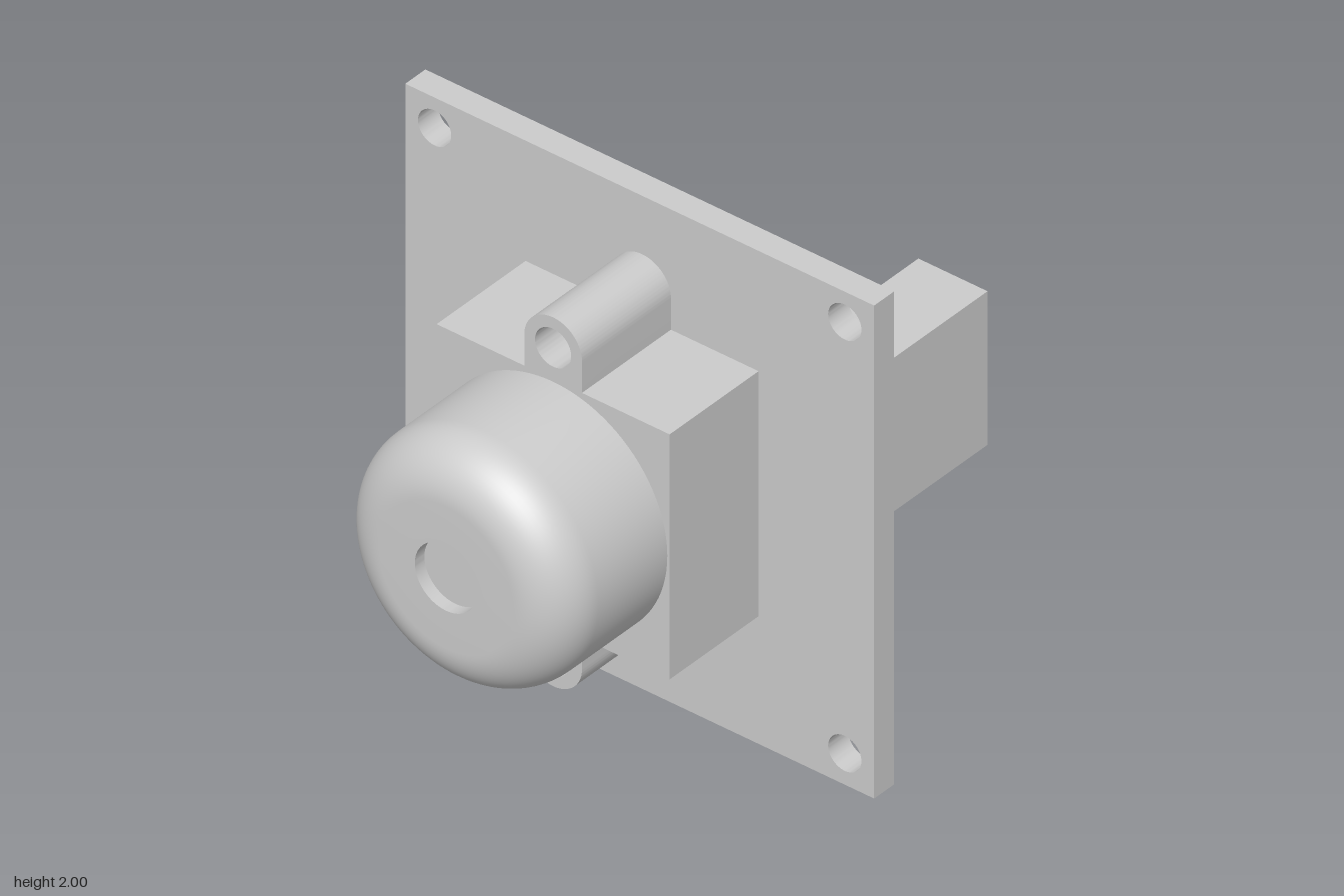
import * as THREE from 'three';
import { toCreasedNormals } from 'three/addons/utils/BufferGeometryUtils.js';

const material = new THREE.MeshStandardMaterial({ color: 0xcccccc });
const CX = 0.01, CY = 1.015; // lens axis
const PLATE_BACK = -0.315, PLATE_FRONT = -0.21, MOUNT_FRONT = 0.255;
const LUG_OFFSET = 0.625, SCREW_R = 0.077;

export function createModel() {
  const model = new THREE.Group();

  const add = (name, geometry) => {
    const mesh = new THREE.Mesh(geometry, material);
    mesh.name = name;
    model.add(mesh);
    return mesh;
  };
  const box = (name, x0, x1, y0, y1, z0, z1) =>
    add(name, new THREE.BoxGeometry(x1 - x0, y1 - y0, z1 - z0))
      .position.set((x0 + x1) / 2, (y0 + y1) / 2, (z0 + z1) / 2);
  const extrude = (name, shape, z0, z1) => {
    const g = new THREE.ExtrudeGeometry(shape, { depth: z1 - z0, bevelEnabled: false, curveSegments: 32 });
    g.translate(0, 0, z0);
    return add(name, toCreasedNormals(g, 0.6));
  };
  const hole = (shape, x, y, r) =>
    shape.holes.push(new THREE.Path().absarc(x, y, r, 0, Math.PI * 2, true));

  // Circuit board with corner holes and two lug screw holes
  const plate = new THREE.Shape();
  plate.moveTo(-1, 0).lineTo(1, 0).lineTo(1, 2).lineTo(-1, 2).closePath();
  for (const x of [-0.875, 0.875]) for (const y of [0.127, 1.877]) hole(plate, x, y, 0.071);
  for (const s of [-1, 1]) hole(plate, CX, CY + s * LUG_OFFSET, SCREW_R);
  extrude('boardPlate', plate, PLATE_BACK, PLATE_FRONT);

  // Square lens mount
  box('lensMount', CX - 0.497, CX + 0.497, CY - 0.497, CY + 0.497, PLATE_FRONT, MOUNT_FRONT);

  // Rounded screw lugs above and below the mount
  const lugR = 0.123;
  for (const s of [1, -1]) {
    const lug = new THREE.Shape();
    lug.moveTo(-lugR, 0.497).lineTo(lugR, 0.497).lineTo(lugR, LUG_OFFSET);
    lug.absarc(0, LUG_OFFSET, lugR, 0, Math.PI, false);
    lug.closePath();
    hole(lug, 0, LUG_OFFSET, SCREW_R);
    const mesh = extrude(s > 0 ? 'upperLug' : 'lowerLug', lug, PLATE_FRONT, MOUNT_FRONT);
    mesh.position.set(CX, CY, 0);
    if (s < 0) mesh.rotation.z = Math.PI;
  }

  // Lens barrel with a rounded front edge and a shallow aperture recess
  const R = 0.487, L = 0.56, F = 0.2, A = 0.133, D = 0.05;
  const profile = [new THREE.Vector2(R, 0)];
  for (let i = 0; i <= 16; i++) {
    const a = (i / 16) * Math.PI / 2;
    profile.push(new THREE.Vector2(R - F + F * Math.cos(a), L - F + F * Math.sin(a)));
  }
  profile.push(new THREE.Vector2(A, L), new THREE.Vector2(A, L - D), new THREE.Vector2(0, L - D));
  const barrel = new THREE.LatheGeometry(profile, 96);
  barrel.rotateX(Math.PI / 2);
  add('lensBarrel', toCreasedNormals(barrel, 0.6)).position.set(CX, CY, MOUNT_FRONT);

  // Connector on the back
  box('rearConnector', 0.695, 0.99, 1.097, 1.72, -0.815, PLATE_BACK);

  return model;
}
